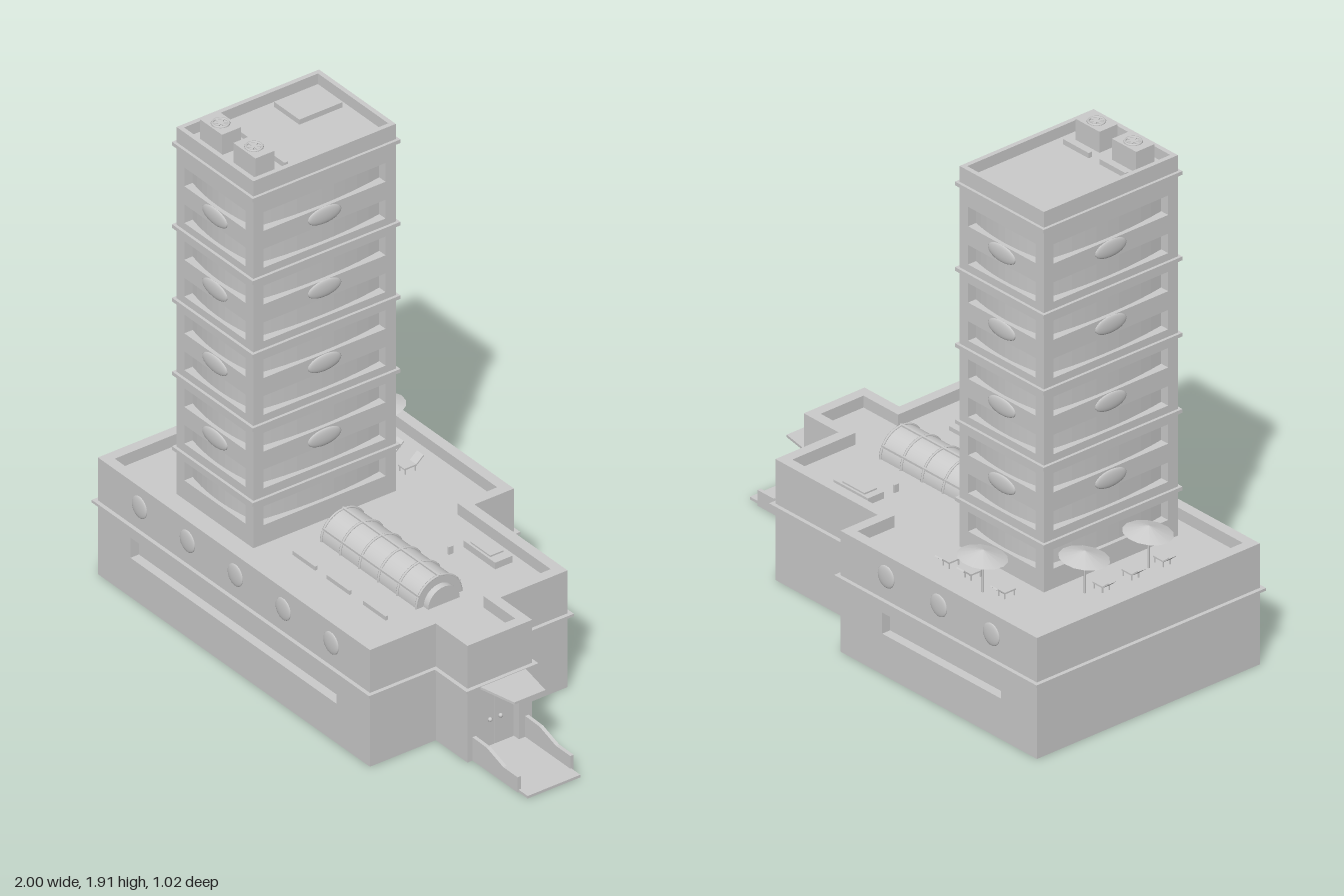
import * as THREE from 'three';

const ROOF = 0.415, TOP = 1.82;
const mat = new THREE.MeshStandardMaterial({ color: 0xcccccc, side: THREE.DoubleSide });

function add(parent, name, geo, x = 0, y = 0, z = 0) {
  const m = new THREE.Mesh(geo, mat);
  m.name = name;
  m.position.set(x, y, z);
  parent.add(m);
  return m;
}
const box = (p, name, w, h, d, x, y, z) => add(p, name, new THREE.BoxGeometry(w, h, d), x, y, z);

// Plan outline given as [x, z], raised from y0 to y1, with an optional hole
const toVec = pts => pts.map(([x, z]) => new THREE.Vector2(x, -z));
function raise(p, name, pts, y0, y1, hole) {
  const s = new THREE.Shape(toVec(pts));
  if (hole) s.holes.push(new THREE.Path(toVec(hole)));
  const g = new THREE.ExtrudeGeometry(s, { depth: y1 - y0, bevelEnabled: false });
  g.rotateX(-Math.PI / 2);
  return add(p, name, g, 0, y0, 0);
}

// Plan of the podium, grown by o; end is the x of the entrance wing
function podiumPlan(o, end = 0.7) {
  return [[-0.98 - o, -0.49 - o], [0.01 + o, -0.49 - o], [0.01 + o, -0.325 - o], [0.525 + o, -0.325 - o],
    [0.525 + o, -0.045 - o], [end + o, -0.045 - o], [end + o, 0.225 + o], [0.525 + o, 0.225 + o],
    [0.525 + o, 0.5 + o], [-0.98 - o, 0.5 + o]];
}

// Plan of the tower, grown by o
const T = { x: -0.485, z: 0.0875, w: 0.425, d: 0.595 };
function towerPlan(o) {
  const a = T.w / 2 + o, b = T.d / 2 + o;
  return [[T.x - a, T.z - b], [T.x + a, T.z - b], [T.x + a, T.z + b], [T.x - a, T.z + b]];
}

// Tower plan at window height: every side is notched, with glass bowed outward
function windowPlan() {
  const pts = [];
  for (let k = 0; k < 4; k++) {
    const half = (k % 2 ? T.d : T.w) / 2, out = (k % 2 ? T.w : T.d) / 2;
    const open = half - 0.043, ang = k * Math.PI / 2;
    const side = [[-half, -out], [-open, -out]];
    for (let i = 0; i <= 10; i++) {
      const t = i / 5 - 1;
      side.push([t * open, -out + 0.035 - 0.02 * (1 - t * t)]);
    }
    side.push([open, -out]);
    for (const [u, v] of side) {
      pts.push([T.x + u * Math.cos(ang) - v * Math.sin(ang), T.z + u * Math.sin(ang) + v * Math.cos(ang)]);
    }
  }
  return pts;
}

function buildPodium(g) {
  raise(g, 'podiumLower', podiumPlan(0, 0.66), 0, 0.155);
  // long recessed windows at the front and back
  const notched = podiumPlan(0, 0.66);
  notched.push([-0.98, 0.5]);
  notched.splice(9, 1, [0.34, 0.5], [0.34, 0.465], [-0.8, 0.465], [-0.8, 0.5]);
  notched.splice(1, 0, [-0.8, -0.49], [-0.8, -0.455], [-0.2, -0.455], [-0.2, -0.49]);
  raise(g, 'podiumWindowStorey', notched, 0.155, 0.235);
  raise(g, 'podiumUpper', podiumPlan(0, 0.66), 0.235, ROOF);
  raise(g, 'podiumParapet', podiumPlan(0), ROOF, 0.46, podiumPlan(-0.04));
  raise(g, 'podiumTrim', podiumPlan(0.015), 0.281, 0.291, podiumPlan(-0.01));

  // round shallow bosses under the parapet
  const boss = (x, z) => add(g, 'wallBoss', new THREE.SphereGeometry(0.042, 20, 12), x, 0.38, z).scale.set(1, 1, 0.17);
  for (let i = 0; i < 5; i++) boss(-0.75 + i * 0.265, 0.5);
  for (let i = 0; i < 3; i++) boss(-0.75 + i * 0.265, -0.49);
}

function buildEntrance(g) {
  // end wall with an arched doorway
  const wall = new THREE.Shape([[-0.225, 0], [0.045, 0], [0.045, ROOF], [-0.225, ROOF]].map(p => new THREE.Vector2(...p)));
  const door = new THREE.Path();
  door.moveTo(-0.17, 0.01);
  door.lineTo(-0.01, 0.01);
  door.lineTo(-0.01, 0.235);
  door.quadraticCurveTo(-0.09, 0.265, -0.17, 0.235);
  wall.holes.push(door);
  const geo = new THREE.ExtrudeGeometry(wall, { depth: 0.04, bevelEnabled: false });
  add(g, 'entranceWall', geo.rotateY(Math.PI / 2), 0.66, 0, 0);
  for (const s of [-1, 1]) {
    box(g, 'doorLeaf', 0.01, 0.24, 0.078, 0.667, 0.13, 0.09 + s * 0.04);
    add(g, 'doorKnob', new THREE.SphereGeometry(0.008, 10, 8), 0.676, 0.115, 0.09 + s * 0.022);
  }
  raise(g, 'canopy', [[0.7, -0.01], [0.86, 0.02], [0.86, 0.15], [0.7, 0.185]], 0.28, 0.289);
  box(g, 'entranceFloor', 0.3, 0.01, 0.22, 0.85, 0.005, 0.09);
  // stepped side walls of the approach
  const side = new THREE.Shape([[0.7, 0], [0.95, 0], [0.95, 0.06], [0.87, 0.06], [0.78, 0.09], [0.7, 0.092]]
    .map(p => new THREE.Vector2(...p)));
  for (const z of [-0.03, 0.19]) {
    add(g, 'approachWall', new THREE.ExtrudeGeometry(side, { depth: 0.014, bevelEnabled: false }), 0, 0, z);
  }
}

function buildTower(g) {
  let y = ROOF - 0.01;
  for (let i = 0; i < 9; i++) {
    const w0 = 0.49 + i * 0.145;
    raise(g, 'towerWall', towerPlan(0), y, w0);
    raise(g, 'towerWindows', windowPlan(), w0, w0 + 0.074);
    y = w0 + 0.074;
  }
  raise(g, 'towerWall', towerPlan(0), y, TOP);
  raise(g, 'towerParapet', towerPlan(0), TOP, 1.862, towerPlan(-0.018));
  for (const b of [0.595, 0.89, 1.18, 1.47, 1.795]) {
    raise(g, 'towerBand', towerPlan(0.011), b - 0.007, b + 0.007, towerPlan(-0.01));
  }
  // shallow bowed panels between window rows
  for (const py of [0.742, 1.035, 1.328, 1.617]) {
    for (const s of [-1, 1]) {
      add(g, 'bowedPanel', new THREE.SphereGeometry(1, 20, 12), T.x, py, T.z + s * T.d / 2).scale.set(0.07, 0.033, 0.008);
      add(g, 'bowedPanel', new THREE.SphereGeometry(1, 20, 12), T.x + s * T.w / 2, py, T.z).scale.set(0.008, 0.033, 0.07);
    }
  }
  // roof plant
  box(g, 'roofHatch', 0.14, 0.02, 0.18, -0.585, TOP + 0.01, -0.08);
  for (const x of [-0.58, -0.395]) {
    box(g, 'roofRail', 0.13, 0.02, 0.014, x, TOP + 0.01, 0.205);
    box(g, 'coolingUnit', 0.122, 0.08, 0.08, x, TOP + 0.04, 0.29);
    const ring = add(g, 'fanRing', new THREE.TorusGeometry(0.028, 0.005, 6, 20), x, TOP + 0.081, 0.29);
    ring.rotation.x = Math.PI / 2;
    for (let k = 0; k < 3; k++) {
      box(g, 'fanBlade', 0.05, 0.003, 0.009, x, TOP + 0.082, 0.29).rotation.y = k * Math.PI / 3;
    }
  }
}

function buildSkylight(g) {
  const arch = (r, len) => new THREE.CylinderGeometry(r, r, len, 24, 1, false, 0, Math.PI).rotateZ(Math.PI / 2);
  add(g, 'skylightVault', arch(0.093, 0.535), 0.092, ROOF, 0.085);
  add(g, 'skylightEnds', arch(0.066, 0.585), 0.092, ROOF, 0.085);
  for (let i = 0; i < 6; i++) {
    const rib = add(g, 'skylightRib', new THREE.TorusGeometry(0.094, 0.005, 6, 20, Math.PI), -0.17 + i * 0.105, ROOF, 0.085);
    rib.rotation.y = Math.PI / 2;
  }
  for (const a of [0.5, 1.57, 2.64]) {
    box(g, 'skylightBar', 0.535, 0.008, 0.008, 0.092, ROOF + 0.095 * Math.sin(a), 0.085 + 0.095 * Math.cos(a));
  }
}

function lounger(g, x, z, turn) {
  const c = new THREE.Group();
  c.name = 'lounger';
  box(c, 'loungerSeat', 0.036, 0.006, 0.05, 0, 0.022, 0.014);
  box(c, 'loungerBack', 0.036, 0.005, 0.042, 0, 0.035, -0.026).rotation.x = 0.7;
  for (const s of [-1, 1]) for (const lz of [-0.008, 0.034]) box(c, 'loungerLeg', 0.004, 0.022, 0.004, s * 0.015, 0.011, lz);
  c.position.set(x, ROOF, z);
  c.rotation.y = turn;
  g.add(c);
}

function buildTerrace(g) {
  for (const [x, z] of [[-0.56, -0.36], [-0.79, -0.11], [-0.8, 0.165]]) {
    add(g, 'parasolPole', new THREE.CylinderGeometry(0.004, 0.004, 0.145, 8), x, ROOF + 0.0725, z);
    const shade = add(g, 'parasolShade', new THREE.ConeGeometry(0.088, 0.028, 14, 1, true), x, 0.562, z);
    shade.rotation.set(0.1, 0, 0.08);
  }
  lounger(g, -0.35, -0.33, 0);
  lounger(g, -0.46, -0.33, 0);
  lounger(g, -0.63, -0.33, 0);
  for (const z of [-0.05, 0.08, 0.22]) lounger(g, -0.82, z, Math.PI / 2);
  // service box and low vents beside the skylight
  box(g, 'serviceBox', 0.175, 0.026, 0.072, 0.23, ROOF + 0.013, -0.215);
  box(g, 'serviceBoxLid', 0.11, 0.006, 0.055, 0.225, ROOF + 0.029, -0.215);
  box(g, 'ventPost', 0.006, 0.03, 0.02, 0.15, ROOF + 0.015, -0.12);
  for (const x of [-0.1, 0.09, 0.29]) box(g, 'lowVent', 0.125, 0.016, 0.01, x, ROOF + 0.008, 0.3);
}

export function createModel() {
  const model = new THREE.Group();
  model.name = 'building';
  const parts = { podium: buildPodium, entrance: buildEntrance, tower: buildTower, skylight: buildSkylight, terrace: buildTerrace };
  for (const [name, build] of Object.entries(parts)) {
    const g = new THREE.Group();
    g.name = name;
    build(g);
    model.add(g);
  }
  return model;
}
